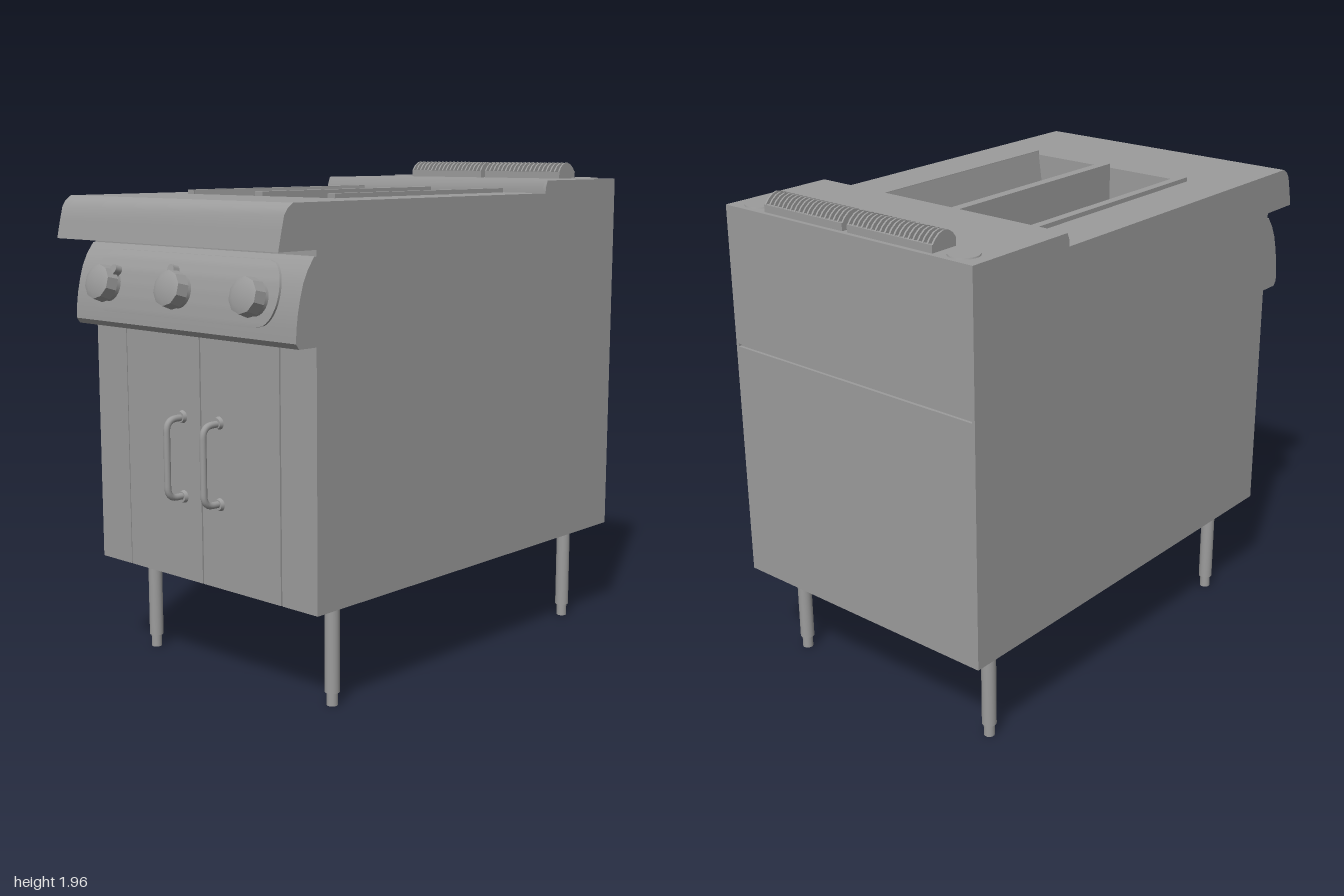
import * as THREE from 'three';
import { toCreasedNormals } from 'three/addons/utils/BufferGeometryUtils.js';

const mat = new THREE.MeshStandardMaterial({ color: 0x9c9c9c });
const sheetMat = new THREE.MeshStandardMaterial({ color: 0x9c9c9c, side: THREE.DoubleSide });
const W = 0.595; // half width of the cabinet

export function createModel() {
  const model = new THREE.Group();

  function add(name, geo, parent = model, material = mat) {
    const mesh = new THREE.Mesh(geo, material);
    mesh.name = name;
    parent.add(mesh);
    return mesh;
  }
  // box from its min and max along each axis
  function box(name, [x0, x1], [y0, y1], [z0, z1], parent = model) {
    const m = add(name, new THREE.BoxGeometry(x1 - x0, y1 - y0, z1 - z0), parent);
    m.position.set((x0 + x1) / 2, (y0 + y1) / 2, (z0 + z1) / 2);
    return m;
  }
  const toShape = pts => new THREE.Shape(pts.map(p => new THREE.Vector2(...p)));
  // side profile given as [z, y], extruded from x0 to x1
  function profileX(name, pts, x0, x1, parent = model) {
    const g = new THREE.ExtrudeGeometry(toShape(pts), { depth: x1 - x0, bevelEnabled: false });
    g.rotateY(-Math.PI / 2).translate(x1, 0, 0);
    return add(name, toCreasedNormals(g, 0.5), parent);
  }
  // flat plate with rectangular holes [x0, x1, z0, z1], top face at y
  function deck(name, y, z0, z1, holes) {
    const rect = (a, b, c, d) => [[a, -d], [b, -d], [b, -c], [a, -c]];
    const shape = toShape(rect(-W, W, z0, z1));
    holes.forEach(h => shape.holes.push(toShape(rect(...h))));
    const g = new THREE.ExtrudeGeometry(shape, { depth: 0.012, bevelEnabled: false });
    add(name, g.rotateX(-Math.PI / 2).translate(0, y - 0.012, 0));
  }

  // Cabinet shell, open underneath
  for (const s of [-1, 1]) {
    const x = s > 0 ? [W - 0.012, W] : [-W, -W + 0.012];
    box('lowerSide', x, [0.4, 1.35], [-1, 0.8]);
    profileX('upperSide', [[-1, 1.35], [0.82, 1.35], [0.82, 1.72], [0.8, 1.73], [0.8, 1.84],
      [-0.5, 1.84], [-0.5, 1.86], [-0.512, 1.89], [-1, 1.89]], ...x);
    box('frontPost', s > 0 ? [0.42, W] : [-W, -0.42], [0.4, 1.35], [0.8, 0.82]);
    box('door', s > 0 ? [0.004, 0.413] : [-0.416, -0.003], [0.4, 1.348], [0.8, 0.82]);
  }
  box('lowerBack', [-W, W], [0.4, 1.345], [-1, -0.988]);
  box('upperBack', [-W, W], [1.357, 1.89], [-1, -0.988]);
  box('backSeam', [-W + 0.01, W - 0.01], [1.33, 1.37], [-0.988, -0.984]);

  // Worktop, raised rear deck and rounded front nose
  deck('worktop', 1.84, -0.5, 0.8, [[-0.39, -0.02, -0.48, 0.51], [0.02, 0.39, -0.48, 0.51]]);
  deck('rearDeck', 1.89, -1, -0.512, [[-0.39, -0.02, -0.975, -0.88], [0.02, 0.39, -0.975, -0.88]]);
  profileX('deckStep', [[-0.512, 1.828], [-0.5, 1.828], [-0.5, 1.86], [-0.512, 1.89]], -W, W);
  profileX('frontNose', [[0.8, 1.68], [1, 1.68], [0.984, 1.75], [0.971, 1.8], [0.955, 1.823],
    [0.93, 1.84], [0.8, 1.84]], -W, W);

  // Two vats: steep outer wall, gently curved floor, upright at the divider
  for (const s of [-1, 1]) {
    const vat = new THREE.Group();
    vat.name = 'vat';
    model.add(vat);
    const floor = new THREE.CatmullRomCurve3([[0.33, 1.65], [0.28, 1.6], [0.2, 1.565], [0.11, 1.547],
      [0.02, 1.54]].map(([x, y]) => new THREE.Vector3(s * x, y, 0)));
    const pts = [[0.39, 1.855], [0.36, 1.855], [0.358, 1.84]].map(([x, y]) => [s * x, y])
      .concat(floor.getPoints(20).map(p => [p.x, p.y]), [[s * 0.02, 1.855]]);
    const g = new THREE.PlaneGeometry(1, 1, 1, pts.length - 1);
    const pos = g.attributes.position;
    for (let i = 0; i < pos.count; i++) {
      const [x, y] = pts[Math.floor(i / 2)];
      pos.setXYZ(i, x, y, i % 2 ? 0.51 : -0.48);
    }
    add('vatTrough', toCreasedNormals(g, 0.5), vat, sheetMat);
    for (const z of [-0.48, 0.51]) {
      add('vatEnd', new THREE.ShapeGeometry(toShape(
        [...pts.slice(2, -1), [s * 0.02, 1.84]])), vat, sheetMat).position.z = z;
    }
    const lip = s > 0 ? [0.36, 0.395] : [-0.395, -0.36];
    box('vatLip', lip, [1.835, 1.857], [-0.485, 0.515], vat);
  }
  box('vatDivider', [-0.02, 0.02], [1.54, 1.857], [-0.48, 0.51]);

  // Bowed control panel with a backing strip up to the nose
  const bow = [[0.905, 1.35], [0.92, 1.37], [0.917, 1.42], [0.91, 1.47], [0.899, 1.52],
    [0.884, 1.57], [0.862, 1.615], [0.83, 1.658]];
  profileX('controlPanel', [[0.8, 1.35], ...bow, [0.8, 1.66]], -W, W);
  box('panelBacking', [-W, W], [1.36, 1.7], [0.795, 0.82]);
  const bowZ = y => {
    const i = Math.max(1, bow.findIndex(p => p[1] >= y));
    const [a, b] = [bow[i - 1], bow[i]];
    return a[0] + (b[0] - a[0]) * (y - a[1]) / (b[1] - a[1]);
  };
  // Round-ended facing that follows the bow behind the knobs
  const facing = new THREE.BoxGeometry(2, 0.23, 2, 8, 24, 1);
  const fp = facing.attributes.position;
  for (let i = 0; i < fp.count; i++) {
    const t = fp.getY(i) / 0.115, y = 1.525 + fp.getY(i);
    const half = 0.405 + 0.095 * Math.sqrt(Math.max(0, 1 - t * t));
    fp.setXYZ(i, fp.getX(i) * half, y, bowZ(y) + (fp.getZ(i) > 0 ? 0.01 : -0.01));
  }
  add('controlFacing', toCreasedNormals(facing, 0.6));

  // Knobs with a rounded pointer tab, each turned differently
  [[-0.395, -0.75], [0, 0.3], [0.395, 1.5]].forEach(([x, turn]) => {
    const knob = new THREE.Group();
    knob.name = 'knob';
    knob.position.set(x, 1.508, 0.908);
    knob.rotation.x = -0.26;
    model.add(knob);
    const disc = (name, r0, r1, z0, z1, n) => add(name, toCreasedNormals(
      new THREE.CylinderGeometry(r1, r0, z1 - z0, n).rotateX(Math.PI / 2)
        .translate(0, 0, (z0 + z1) / 2), 0.4), knob);
    disc('knobCollar', 0.062, 0.06, -0.01, 0.03, 24);
    disc('knobGrip', 0.071, 0.066, 0.025, 0.07, 10);
    disc('knobCap', 0.066, 0.045, 0.07, 0.078, 10);
    const tab = new THREE.Group();
    tab.name = 'knobPointer';
    tab.rotation.z = turn;
    knob.add(tab);
    box('pointerStem', [-0.016, 0.016], [0.05, 0.078], [0.015, 0.045], tab);
    add('pointerTip', new THREE.CylinderGeometry(0.016, 0.016, 0.03, 16).rotateX(Math.PI / 2), tab)
      .position.set(0, 0.078, 0.03);
  });

  // Bar handles on the doors
  for (const x of [-0.1, 0.1]) {
    const handle = new THREE.Group();
    handle.name = 'doorHandle';
    handle.position.x = x;
    model.add(handle);
    const path = new THREE.CurvePath(), v = (y, z) => new THREE.Vector3(0, y, z);
    path.add(new THREE.LineCurve3(v(0.725, 0.81), v(0.725, 0.855)));
    path.add(new THREE.QuadraticBezierCurve3(v(0.725, 0.855), v(0.725, 0.9), v(0.77, 0.9)));
    path.add(new THREE.LineCurve3(v(0.77, 0.9), v(0.98, 0.9)));
    path.add(new THREE.QuadraticBezierCurve3(v(0.98, 0.9), v(1.025, 0.9), v(1.025, 0.855)));
    path.add(new THREE.LineCurve3(v(1.025, 0.855), v(1.025, 0.81)));
    add('handleBar', new THREE.TubeGeometry(path, 48, 0.013, 12), handle);
    for (const y of [0.722, 1.028]) {
      add('handleFlange', new THREE.CylinderGeometry(0.02, 0.025, 0.015, 20).rotateX(Math.PI / 2), handle)
        .position.set(0, y, 0.826);
      add('handleScrew', new THREE.CylinderGeometry(0.018, 0.018, 0.01, 16).rotateX(Math.PI / 2), handle)
        .position.set(0, y, 0.798);
    }
  }

  // Legs with adjustable feet
  for (const x of [-0.495, 0.495]) for (const z of [-0.83, 0.64]) {
    add('leg', new THREE.CylinderGeometry(0.028, 0.028, 0.37, 24)).position.set(x, 0.235, z);
    add('foot', new THREE.CylinderGeometry(0.021, 0.021, 0.052, 24)).position.set(x, 0.026, z);
  }

  // Flue grilles: domed fins between low rails, and round caps beside them
  const dome = [[-0.98, 1.888], [-0.865, 1.888], [-0.865, 1.92], [-0.88, 1.94], [-0.9, 1.953],
    [-0.922, 1.957], [-0.945, 1.95], [-0.965, 1.935], [-0.98, 1.915]];
  for (const s of [-1, 1]) {
    const grille = new THREE.Group();
    grille.name = 'flueGrille';
    model.add(grille);
    const x0 = s > 0 ? 0.012 : -0.405, n = 18, step = 0.387 / n;
    for (let i = 0; i <= n; i++) profileX('fin', dome, x0 + i * step, x0 + i * step + 0.007, grille);
    for (const z of [-0.982, -0.877]) box('grilleRail', [x0, x0 + 0.393], [1.888, 1.918], [z, z + 0.012], grille);
    add('roundCap', new THREE.CylinderGeometry(0.055, 0.057, 0.006, 32))
      .position.set(s * 0.493, 1.892, -0.925);
  }
  return model;
}
